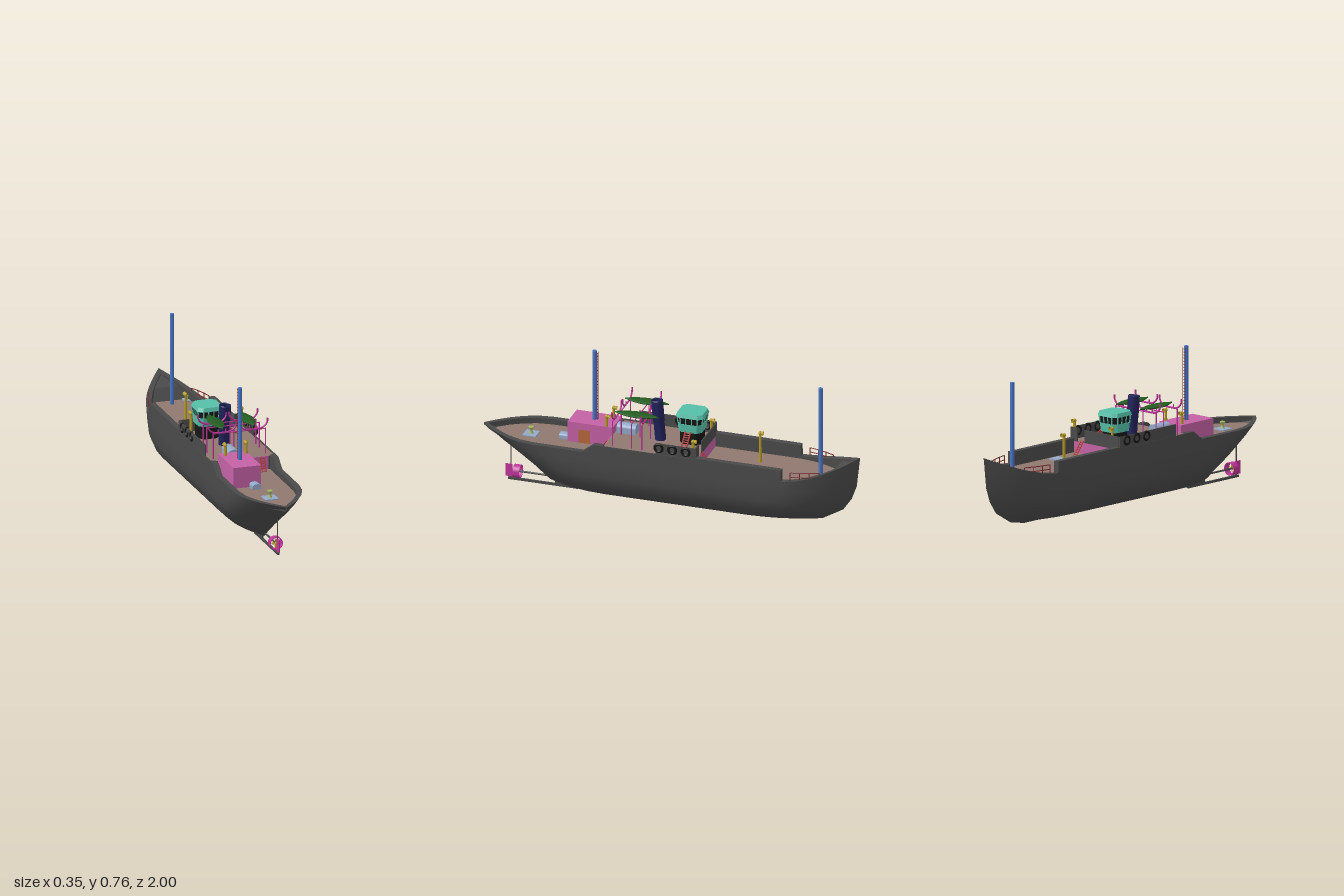
import * as THREE from 'three';
import { toCreasedNormals } from 'three/addons/utils/BufferGeometryUtils.js';

const mat = (color) => new THREE.MeshStandardMaterial({ color, side: THREE.DoubleSide });
const M = {
  hull: mat(0x4a4a4a), deck: mat(0x8f786e), pink: mat(0xc461a5), blue: mat(0x4a74c4), navy: mat(0x23235e),
  teal: mat(0x55bfa8), black: mat(0x161616), red: mat(0xb53a34), rail: mat(0x7a2c30), yellow: mat(0xb59a25),
  green: mat(0x235c20), magenta: mat(0xc0359a), pale: mat(0x92a9c8), lime: mat(0xa4b565), orange: mat(0xb5673c),
};
const V = (x, y, z) => new THREE.Vector3(x, y, z);

// Skin between consecutive cross-sections of equal point count
function loft(sections) {
  const n = sections[0].length, index = [];
  for (let i = 0; i < sections.length - 1; i++) for (let j = 0; j < n - 1; j++) {
    const a = i * n + j, c = a + n;
    index.push(a, a + 1, c, a + 1, c + 1, c);
  }
  const g = new THREE.BufferGeometry().setFromPoints(sections.flat());
  g.setIndex(index);
  return toCreasedNormals(g, 0.6);
}

// Hull shape rules: plan width, sheer line, deck level and bulwark thickness
const taper = (front, back) => {
  const e = (d, l) => 1 - Math.pow(1 - Math.min(1, Math.max(0, d) / l), 2);
  return e(front, 0.38) * e(back, 0.32);
};
const halfWidth = (z) => 0.174 * taper(z + 1, 1 - z);
function sheer(z) {
  if (z < -0.636) return 0.29 + 0.11 * Math.pow(Math.max(0, -0.64 - z) / 0.36, 1.6);
  if (z < -0.18) return 0.35;
  if (z < 0.36) return 0.343;
  return z < 0.42 ? THREE.MathUtils.mapLinear(z, 0.36, 0.42, 0.338, 0.296) : 0.296;
}
const isMid = (z) => z > -0.18 && z < 0.31;
const deckY = (z) => (isMid(z) ? 0.335 : z < 0 ? 0.275 : 0.265);
const innerWidth = (z) => Math.max(0, halfWidth(z) - (isMid(z) ? 0.006 : 0.03));

export function createModel() {
  const ship = new THREE.Group();
  const add = (name, geo, m, x = 0, y = 0, z = 0, parent = ship) => {
    const mesh = new THREE.Mesh(geo, m);
    mesh.name = name;
    mesh.position.set(x, y, z);
    parent.add(mesh);
    return mesh;
  };
  const group = (name) => { const g = new THREE.Group(); g.name = name; ship.add(g); return g; };
  // Box given by its limits
  const box = (name, m, x0, x1, y0, y1, z0, z1, parent = ship) =>
    add(name, new THREE.BoxGeometry(x1 - x0, y1 - y0, z1 - z0), m, (x0 + x1) / 2, (y0 + y1) / 2, (z0 + z1) / 2, parent);
  // Round bar between two points
  const bar = (name, m, a, b, r, parent = ship, sides = 6) => {
    const d = b.clone().sub(a);
    const mesh = add(name, new THREE.CylinderGeometry(r, r, d.length(), sides), m, 0, 0, 0, parent);
    mesh.position.copy(a).add(b).multiplyScalar(0.5);
    mesh.quaternion.setFromUnitVectors(V(0, 1, 0), d.normalize());
    return mesh;
  };
  // Ladder from a to b with rails offset by side
  const ladder = (name, m, a, b, side, rungs, r) => {
    const g = group(name);
    for (const s of [-1, 1]) bar('rail', m, a.clone().addScaledVector(side, s), b.clone().addScaledVector(side, s), r, g);
    for (let i = 0; i < rungs; i++) {
      const p = a.clone().lerp(b, (i + 0.5) / rungs);
      bar('rung', m, p.clone().sub(side), p.clone().add(side), r * 0.8, g);
    }
  };

  // Hull: levels of [y, half width, bow z, stern z], then bulwark and inner floor
  const levels = [[0.018, 0, -0.7, 0.6], [0.035, 0.085, -0.8, 0.65], [0.1, 0.15, -0.91, 0.73],
    [0.165, 0.172, -0.955, 0.82], [0.24, 0.174, -0.982, 0.93]];
  const stations = [-1, -0.985, -0.96, -0.92, -0.88, -0.84, -0.78, -0.71, -0.637, -0.635, -0.5, -0.35, -0.181, -0.179,
    0, 0.15, 0.309, 0.311, 0.359, 0.42, 0.55, 0.68, 0.76, 0.83, 0.89, 0.94, 0.975, 1];
  const sections = stations.map((z) => {
    const half = levels.map(([y, w, b, s]) => {
      const zz = b + (s - b) * (z + 1) / 2;
      return V(w * taper(zz - b, s - zz), y, zz);
    });
    const iw = innerWidth(z), floor = z < -0.85 || z > 0.98 ? sheer(z) - 0.01 : deckY(z);
    half.push(V(halfWidth(z), sheer(z), z), V(iw, sheer(z), z), V(iw, floor, z), V(0, floor, z));
    return [...half, ...half.slice(0, -1).reverse().map((p) => V(-p.x, p.y, p.z))];
  });
  add('hull', loft(sections), M.hull);

  // Planked decks
  const deck = (name, z0, z1) => {
    const zs = [z0, ...stations.filter((z) => z > z0 && z < z1), z1], y = deckY((z0 + z1) / 2) + 0.002;
    add(name, loft(zs.map((z) => [V(innerWidth(z), y, z), V(-innerWidth(z), y, z)])), M.deck);
  };
  deck('foreDeck', -0.84, -0.1801);
  deck('middleDeck', -0.179, 0.309);
  deck('aftDeck', 0.3101, 0.94);

  // Step walls, cross bulkhead and raised side panels
  box('foreStepWall', M.pink, -0.142, 0.142, 0.275, 0.335, -0.184, -0.18);
  box('aftStepWall', M.pink, 0.015, 0.137, 0.265, 0.337, 0.308, 0.313);
  box('crossBulkhead', M.hull, -0.165, 0.072, 0.335, 0.402, -0.184, -0.178);
  box('crossBulkhead', M.hull, 0.122, 0.168, 0.335, 0.405, -0.184, -0.178);
  box('sidePanel', M.hull, 0.165, 0.17, 0.335, 0.402, -0.182, 0.03);
  box('sidePanel', M.hull, -0.172, -0.167, 0.335, 0.402, -0.182, 0.23);

  // Fenders along both sides
  for (const s of [-1, 1]) for (const z of [-0.13, -0.058, 0.014])
    add('fender', new THREE.TorusGeometry(0.02, 0.0075, 8, 20), M.black, s * 0.169, 0.377, z).rotation.y = Math.PI / 2;

  // Aft house with door
  box('aftHouse', M.pink, -0.13, 0.016, 0.265, 0.376, 0.31, 0.55);
  box('door', M.orange, 0.014, 0.018, 0.268, 0.34, 0.43, 0.49);

  // Masts and mast ladder
  add('foreMast', new THREE.CylinderGeometry(0.011, 0.011, 0.482, 20), M.blue, 0, 0.516, -0.79);
  add('aftMast', new THREE.CylinderGeometry(0.011, 0.011, 0.382, 20), M.blue, -0.055, 0.566, 0.43);
  ladder('mastLadder', M.rail, V(-0.055, 0.376, 0.413), V(-0.055, 0.75, 0.413), V(0.008, 0, 0), 24, 0.0016);

  // Raked funnel with open top
  const funnel = group('funnel');
  funnel.position.set(-0.017, 0.335, 0.066);
  funnel.rotation.x = 0.09;
  const stack = [[0.001, 0], [0.028, 0], [0.028, 0.1], [0.03, 0.105], [0.03, 0.216], [0.027, 0.219], [0.024, 0.216], [0.024, 0.19], [0.001, 0.19]];
  add('stack', toCreasedNormals(new THREE.LatheGeometry(stack.map((p) => new THREE.Vector2(...p)), 24), 0.6), M.navy, 0, 0, 0, funnel);

  // Wheelhouse: stacked chamfered storeys
  const house = group('wheelhouse');
  house.position.set(-0.052, 0, -0.092);
  const chamfered = (name, m, w0, d0, w1, d1, y0, y1) => {
    const ring = (w, d, y) => {
      const c = 0.022, k = [[w, d - c], [w, c - d], [w - c, -d], [c - w, -d], [-w, c - d], [-w, d - c], [c - w, d], [w - c, d]];
      return [...k, k[0]].map(([x, z]) => V(x, y, z));
    };
    const tip = (y) => Array.from({ length: 9 }, () => V(0, y, 0));
    add(name, loft([tip(y0), ring(w0, d0, y0), ring(w1, d1, y1), tip(y1)]), m, 0, 0, 0, house);
  };
  chamfered('base', M.black, 0.053, 0.056, 0.053, 0.056, 0.335, 0.408);
  chamfered('body', M.teal, 0.06, 0.062, 0.063, 0.066, 0.405, 0.45);
  chamfered('windows', M.black, 0.061, 0.064, 0.064, 0.067, 0.45, 0.488);
  chamfered('roof', M.teal, 0.069, 0.074, 0.062, 0.067, 0.486, 0.506);
  for (const sx of [-1, 1]) for (const sz of [-1, 1]) {
    bar('windowPost', M.teal, V(sx * 0.061, 0.448, sz * 0.044), V(sx * 0.065, 0.49, sz * 0.046), 0.004, house);
    bar('windowPost', M.teal, V(sx * 0.04, 0.448, sz * 0.064), V(sx * 0.042, 0.49, sz * 0.068), 0.004, house);
    bar('windowPost', M.teal, V(sx * 0.062, 0.448, sz * 0.016), V(sx * 0.065, 0.49, sz * 0.016), 0.003, house);
    bar('windowPost', M.teal, V(sx * 0.014, 0.448, sz * 0.065), V(sx * 0.014, 0.49, sz * 0.068), 0.003, house);
  }

  // Stairs and deck ladders
  ladder('bridgeStairs', M.red, V(0.1, 0.337, -0.09), V(0.016, 0.413, -0.09), V(0, 0, 0.014), 9, 0.004);
  ladder('foreLadder', M.red, V(0.085, 0.277, -0.24), V(0.085, 0.345, -0.186), V(0.009, 0, 0), 6, 0.003);
  ladder('aftLadder', M.red, V(0.1, 0.267, 0.355), V(0.1, 0.335, 0.318), V(0.011, 0, 0), 6, 0.003);

  // Lifeboats on U-shaped cradles
  for (const x of [-0.096, 0.07]) {
    const boat = [];
    for (let i = 0; i <= 16; i++) {
      const t = i / 8 - 1, w = 0.037 * (1 - t * t), z = 0.165 + t * 0.117, row = [];
      for (let j = 0; j <= 8; j++) {
        const a = -Math.PI / 2 + j * Math.PI / 4;
        row.push(V(x + w * Math.cos(a), 0.497 + Math.sin(a) * (Math.sin(a) < 0 ? 0.012 : 0.007) * (0.3 + 0.7 * (1 - t * t)), z));
      }
      boat.push(row);
    }
    add('lifeboat', loft(boat), M.green);
    const r = 0.075;
    const path = new THREE.CatmullRomCurve3([[-r, 0.525], [-r, 0.508], [-0.062, 0.486], [-0.038, 0.475], [0.038, 0.475],
      [0.062, 0.486], [r, 0.508], [r, 0.525]].map(([dx, y]) => V(dx, y, 0)));
    for (const z of [0.115, 0.27]) {
      add('cradle', new THREE.TubeGeometry(path, 28, 0.0045, 6), M.magenta, x, 0, z);
      for (const dx of [-0.02, 0.02]) bar('chock', M.magenta, V(x + dx, 0.472, z), V(x + dx, 0.49, z), 0.003);
    }
  }
  for (const z of [0.115, 0.17, 0.27]) {
    bar('davitBeam', M.magenta, V(-0.145, 0.47, z), V(0.138, 0.47, z), 0.003);
    for (const x of [-0.143, 0, 0.136]) bar('davitPost', M.magenta, V(x, 0.335, z), V(x, 0.47, z), 0.003);
  }

  // Ventilators with cowls facing the bow
  for (const [x, y0, y1, z] of [[-0.104, 0.375, 0.43, 0.345], [0.007, 0.375, 0.43, 0.345], [0.157, 0.335, 0.435, -0.165],
    [-0.11, 0.335, 0.435, -0.172], [-0.042, 0.275, 0.437, -0.455]]) {
    add('ventPipe', new THREE.CylinderGeometry(0.007, 0.008, y1 - y0, 12), M.yellow, x, (y0 + y1) / 2, z);
    add('ventCowl', new THREE.SphereGeometry(0.01, 14, 10), M.yellow, x, y1, z);
    add('ventMouth', new THREE.CylinderGeometry(0.011, 0.007, 0.014, 14, 1, true), M.yellow, x, y1, z - 0.01).rotation.x = -Math.PI / 2;
  }

  // Skylights, hatches and bollards
  const skylight = (x0, x1, y, h, z0, z1) => {
    box('skylightBase', M.pale, x0, x1, y, y + h * 0.6, z0, z1);
    const s = new THREE.CylinderGeometry((x1 - x0) / 2, (x1 - x0) / 2, z1 - z0, 12, 1, false, 0, Math.PI);
    s.rotateX(Math.PI / 2).rotateZ(Math.PI / 2).scale(1, h * 0.8 / (x1 - x0), 1);
    add('skylightTop', s, M.pale, (x0 + x1) / 2, y + h * 0.6, (z0 + z1) / 2);
  };
  skylight(-0.072, -0.014, 0.335, 0.05, 0.2, 0.3);
  skylight(-0.046, 0.002, 0.265, 0.03, 0.55, 0.6);
  box('foreHatch', M.pale, 0.04, 0.11, 0.275, 0.286, -0.4, -0.335);
  box('sternPlate', M.pale, -0.04, 0.03, 0.265, 0.272, 0.715, 0.785);
  box('bowPlate', M.pale, 0.07, 0.1, 0.275, 0.283, -0.84, -0.79);
  const bollard = [[0.012, 0], [0.007, 0.012], [0.007, 0.022], [0.016, 0.034], [0.013, 0.037], [0, 0.037]].map((p) => new THREE.Vector2(...p));
  add('sternBollard', new THREE.LatheGeometry(bollard, 16), M.lime, -0.005, 0.271, 0.75);
  for (const z of [-0.828, -0.802]) add('bowBollard', new THREE.LatheGeometry(bollard, 12), M.lime, 0.085, 0.282, z).scale.set(0.5, 0.7, 0.5);

  // Bow railings on both sides
  for (const s of [-1, 1]) {
    const zs = [-0.68, -0.727, -0.774, -0.82], at = (z, y) => V(s * (halfWidth(z) - 0.012), y, z);
    zs.forEach((z, i) => {
      bar('railPost', M.rail, at(z, 0.285), at(z, 0.338), 0.0025);
      if (i) for (const y of [0.315, 0.338]) bar('railBar', M.rail, at(zs[i - 1], y), at(z, y), 0.0025);
    });
  }

  // Keel shoe, propeller, nozzle and rudder
  box('keelShoe', M.hull, -0.005, 0.005, 0.002, 0.014, 0.5, 0.87);
  box('skeg', M.hull, -0.004, 0.004, 0.008, 0.03, 0.49, 0.62);
  bar('shaft', M.hull, V(0, 0.052, 0.66), V(0, 0.052, 0.83), 0.005, ship, 10);
  const nozzle = [[0.034, -0.018], [0.034, 0.018], [0.031, 0.018], [0.031, -0.018], [0.034, -0.018]].map((p) => new THREE.Vector2(...p));
  add('nozzle', toCreasedNormals(new THREE.LatheGeometry(nozzle, 28), 0.6), M.magenta, 0, 0.052, 0.82).rotation.x = Math.PI / 2;
  add('propellerHub', new THREE.SphereGeometry(0.007, 12, 8), M.yellow, 0, 0.052, 0.83);
  for (let i = 0; i < 4; i++) {
    const pivot = group('propellerBlade');
    pivot.position.set(0, 0.052, 0.825);
    pivot.rotation.z = i * Math.PI / 2;
    const blade = add('blade', new THREE.SphereGeometry(1, 10, 8), M.yellow, 0.013, 0, 0, pivot);
    blade.scale.set(0.011, 0.006, 0.0015);
    blade.rotation.x = 0.6;
  }
  box('rudder', M.magenta, -0.003, 0.003, 0.018, 0.085, 0.848, 0.885);
  bar('rudderPost', M.hull, V(0, 0.002, 0.855), V(0, 0.2, 0.855), 0.003);
  return ship;
}
